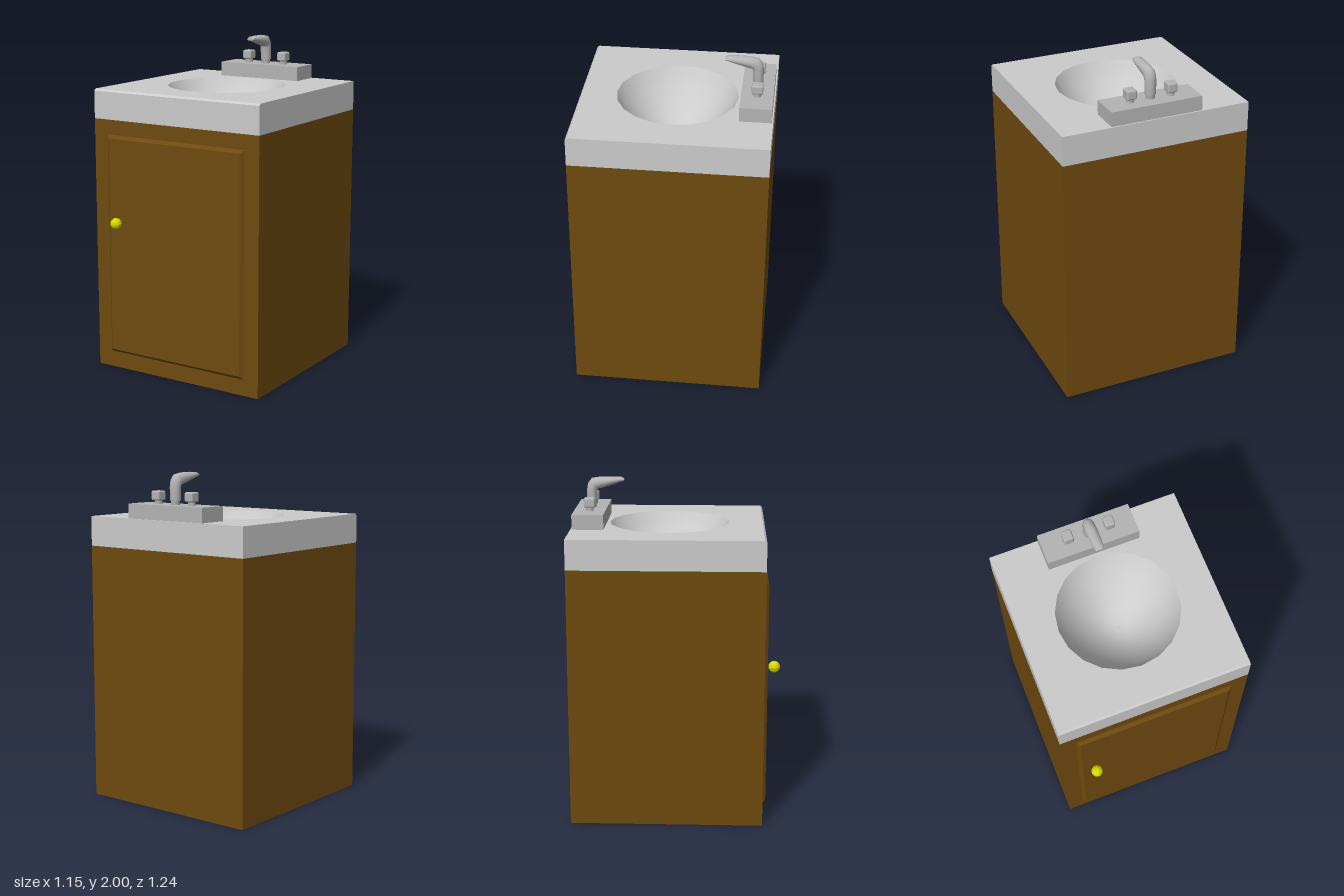
import * as THREE from 'three';
import { RoundedBoxGeometry } from 'three/addons/geometries/RoundedBoxGeometry.js';

const paint = (color, extra = {}) => new THREE.MeshStandardMaterial({ color, ...extra });

function addMesh(parent, name, geometry, material, x = 0, y = 0, z = 0) {
  const mesh = new THREE.Mesh(geometry, material);
  mesh.name = name;
  mesh.position.set(x, y, z);
  parent.add(mesh);
  return mesh;
}

// Box without its top face, so the basin can hang inside it
function openBox(w, h, d) {
  const g = new THREE.BoxGeometry(w, h, d);
  const index = Array.from(g.index.array);
  index.splice(12, 6);
  g.setIndex(index);
  g.clearGroups();
  return g;
}

// Elliptical rings swept in the yz plane: [y, z, lean in degrees, half thickness, half width]
function spoutGeometry(rings, sides = 14) {
  const last = rings[rings.length - 1];
  // Repeated end ring keeps the rim sharp, a shrunken ring closes the tip
  const all = [...rings, last, [last[0], last[1], last[2], 0.0005, 0.0005]];
  const pos = [], index = [];
  all.forEach(([y, z, lean, r, rx], i) => {
    const a = THREE.MathUtils.degToRad(lean);
    for (let j = 0; j < sides; j++) {
      const t = (j / sides) * Math.PI * 2;
      const s = r * Math.sin(t);
      pos.push(rx * Math.cos(t), y + s * Math.sin(a), z - s * Math.cos(a));
      if (i === all.length - 1) continue;
      const k = (j + 1) % sides;
      const p = i * sides, q = p + sides;
      index.push(p + j, p + k, q + j, p + k, q + k, q + j);
    }
  });
  const g = new THREE.BufferGeometry();
  g.setAttribute('position', new THREE.Float32BufferAttribute(pos, 3));
  g.setIndex(index);
  g.computeVertexNormals();
  return g;
}

export function createModel() {
  const model = new THREE.Group();
  model.name = 'washstand';
  const wood = paint(0x6e4a0f);
  const stone = paint(0xcccccc);
  const metal = paint(0xb4b4b4);
  const brass = paint(0xd8d800, { flatShading: true });

  const halfW = 0.575, back = -0.62, front = 0.525;
  const cabinetTop = 1.55, top = 1.728, lip = 0.012;
  const depth = front - back, midZ = (front + back) / 2;
  const basinR = 0.36, basinZ = -0.047, basinSides = 20;

  // Cabinet
  addMesh(model, 'cabinet', openBox(halfW * 2, cabinetTop, depth), wood, 0, cabinetTop / 2, midZ);

  // Door panel with bevelled edges
  const doorGeo = new THREE.BoxGeometry(0.96, 1.36, 0.02);
  const dp = doorGeo.attributes.position;
  for (let i = 0; i < dp.count; i++) {
    if (dp.getZ(i) > 0) {
      dp.setX(i, dp.getX(i) - Math.sign(dp.getX(i)) * 0.02);
      dp.setY(i, dp.getY(i) - Math.sign(dp.getY(i)) * 0.02);
    }
  }
  const door = doorGeo.toNonIndexed();
  door.computeVertexNormals();
  addMesh(model, 'door', door, wood, 0, 0.78, front + 0.01);

  // Door knob
  const knobGeo = new THREE.SphereGeometry(0.035, 10, 8).rotateX(Math.PI / 2);
  addMesh(model, 'doorKnob', knobGeo, brass, -0.385, 0.935, 0.585);

  // Countertop: sides, front lip with a small chamfer, top with the basin opening
  const counter = new THREE.Group();
  counter.name = 'countertop';
  model.add(counter);
  const slabH = top - cabinetTop, slabD = depth - lip;
  addMesh(counter, 'counterSides', openBox(halfW * 2, slabH, slabD).translate(0, slabH / 2, 0),
    stone, 0, cabinetTop, midZ - lip / 2).geometry.index.array;

  const edge = new THREE.Shape([
    [front - lip, cabinetTop], [front, cabinetTop], [front, top - lip], [front - lip, top],
  ].map(([z, y]) => new THREE.Vector2(-z, y)));
  const edgeGeo = new THREE.ExtrudeGeometry(edge, { depth: halfW * 2, bevelEnabled: false });
  edgeGeo.rotateY(Math.PI / 2);
  addMesh(counter, 'counterFrontEdge', edgeGeo, stone, -halfW, 0, 0);

  const slab = new THREE.Shape([
    [-halfW, -front + lip], [halfW, -front + lip], [halfW, -back], [-halfW, -back],
  ].map(([x, y]) => new THREE.Vector2(x, y)));
  const rim = [];
  for (let i = 0; i < basinSides; i++) {
    const a = (-i / basinSides) * Math.PI * 2;
    rim.push(new THREE.Vector2(basinR * Math.cos(a), basinR * Math.sin(a) - basinZ));
  }
  slab.holes.push(new THREE.Path(rim));
  addMesh(counter, 'counterSurface', new THREE.ShapeGeometry(slab).rotateX(-Math.PI / 2), stone, 0, top, 0);

  // The counter underside would cut through the basin, so only its walls remain
  const sides = counter.children[0].geometry;
  const wallIndex = Array.from(sides.index.array);
  wallIndex.splice(12, 6);
  sides.setIndex(wallIndex);

  // Basin, from the rim down to the drain
  const drainR = 0.022, basinDepth = 0.3;
  const profile = [];
  for (let i = 0; i <= 12; i++) {
    const t = i / 12;
    const r = THREE.MathUtils.lerp(basinR, drainR, t);
    profile.push(new THREE.Vector2(r, -basinDepth * Math.pow(1 - Math.pow(1 - t, 1.7), 0.9)));
  }
  addMesh(model, 'basin', new THREE.LatheGeometry(profile, basinSides), stone, 0, top, basinZ);
  addMesh(model, 'drain', new THREE.CircleGeometry(drainR, basinSides).rotateX(-Math.PI / 2),
    stone, 0, top - basinDepth, basinZ);

  // Tap: base block, spout and two handles
  const tap = new THREE.Group();
  tap.name = 'tap';
  model.add(tap);
  addMesh(tap, 'tapBase', new THREE.BoxGeometry(0.56, 0.087, 0.187), metal, 0, 1.7715, -0.518);
  addMesh(tap, 'spout', spoutGeometry([
    [1.81, -0.515, 0, 0.026, 0.027],
    [1.835, -0.515, 0, 0.026, 0.027],
    [1.842, -0.515, 0, 0.031, 0.033],
    [1.92, -0.514, 0, 0.032, 0.034],
    [1.945, -0.506, 25, 0.037, 0.034],
    [1.959, -0.49, 50, 0.041, 0.034],
    [1.966, -0.455, 80, 0.034, 0.034],
    [1.977, -0.38, 90, 0.023, 0.031],
    [1.983, -0.34, 90, 0.015, 0.028],
    [1.981, -0.322, 90, 0.008, 0.024],
  ]), metal);
  for (const [side, name] of [[1, 'left'], [-1, 'right']]) {
    addMesh(tap, name + 'HandleStem', new THREE.CylinderGeometry(0.023, 0.023, 0.03, 12), metal,
      side * 0.126, 1.827, -0.518);
    addMesh(tap, name + 'Handle', new RoundedBoxGeometry(0.06, 0.057, 0.066, 2, 0.01), metal,
      side * 0.126, 1.864, -0.518);
  }
  return model;
}
